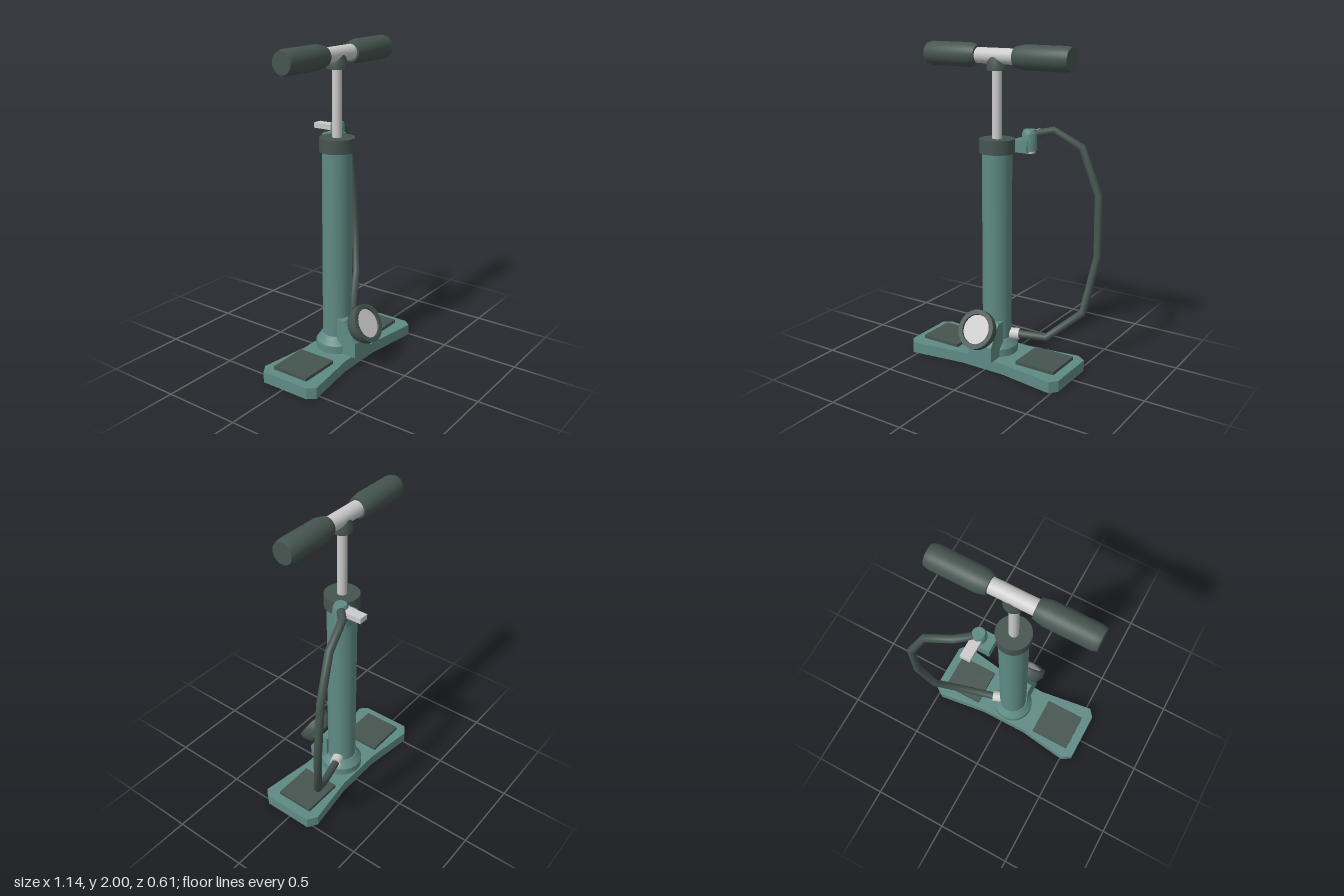
import * as THREE from 'three';
import { toCreasedNormals } from 'three/addons/utils/BufferGeometryUtils.js';

const TEAL = new THREE.MeshStandardMaterial({ color: 0x5f8a84 });
const DARK = new THREE.MeshStandardMaterial({ color: 0x465550 });
const GREY = new THREE.MeshStandardMaterial({ color: 0xcccccc });
const CX = -0.022; // pump axis

export function createModel() {
  const model = new THREE.Group();
  model.name = 'floorPump';

  const add = (name, geometry, material, x = 0, y = 0, z = 0, parent = model) => {
    const mesh = new THREE.Mesh(geometry, material);
    mesh.name = name;
    mesh.position.set(x, y, z);
    parent.add(mesh);
    return mesh;
  };
  // Turned part from [radius, height] pairs, listed bottom to top
  const turned = (profile, segments = 32) => toCreasedNormals(
    new THREE.LatheGeometry(profile.map(([r, y]) => new THREE.Vector2(r, y)), segments), 0.45);
  // Box from its minimum and maximum corners
  const box = (name, material, a, b) => add(name,
    new THREE.BoxGeometry(b[0] - a[0], b[1] - a[1], b[2] - a[2]), material,
    (a[0] + b[0]) / 2, (a[1] + b[1]) / 2, (a[2] + b[2]) / 2);
  const extrude = (points, depth) => new THREE.ExtrudeGeometry(
    new THREE.Shape(points.map(([x, y]) => new THREE.Vector2(x, y))),
    { depth, bevelEnabled: false });

  // Waisted foot plate with clipped corners: half outline in [x, z], mirrored
  const half = [[0.153, 0.175], [0.51, 0.226], [0.55, 0.178], [0.55, -0.148], [0.49, -0.187], [0.16, -0.142]];
  const outline = [...half, ...half.map(([x, z]) => [-x, z]).reverse()];
  const plate = extrude(outline.map(([x, z]) => [x, -z]), 0.071);
  plate.rotateX(-Math.PI / 2);
  add('footPlate', plate, TEAL, CX);

  // Foot pads
  for (const [side, s] of [['left', 1], ['right', -1]]) {
    const pad = new THREE.BoxGeometry(0.268, 0.022, 0.25);
    add(side + 'FootPad', pad, DARK, CX + s * 0.355, 0.081, 0.007);
  }

  // Barrel, collar, cap and piston rod
  add('barrelCollar', turned([[0, 0.07], [0.133, 0.07], [0.133, 0.12], [0.097, 0.17], [0, 0.17]]), TEAL, CX);
  add('barrel', turned([[0, 0.07], [0.092, 0.07], [0.092, 1.36], [0, 1.36]]), TEAL, CX);
  add('barrelCap', turned([[0, 1.355], [0.108, 1.355], [0.108, 1.44], [0, 1.44]]), DARK, CX);
  add('pistonRod', new THREE.CylinderGeometry(0.03, 0.03, 0.5, 24), GREY, CX, 1.67);

  // Handle
  const handle = new THREE.Group();
  handle.name = 'handle';
  handle.position.set(CX, 1.927, 0);
  model.add(handle);
  add('handleHub', turned([[0, -0.082], [0.062, -0.082], [0.062, -0.045], [0.045, 0.003], [0, 0.003]]),
    DARK, 0, 0, 0, handle);
  const bar = new THREE.CylinderGeometry(0.047, 0.047, 0.6, 24);
  add('handleBar', bar, GREY, 0, 0, 0, handle).rotation.z = Math.PI / 2;
  const gripProfile = [[0, 0.134], [0.06, 0.134], [0.073, 0.195], [0.073, 0.465], [0.065, 0.496], [0, 0.496]];
  for (const [side, s] of [['left', 1], ['right', -1]]) {
    add(side + 'Grip', turned(gripProfile), DARK, 0, 0, 0, handle).rotation.z = -s * Math.PI / 2;
  }

  // Gauge bracket: side profile in [z, y], extruded across x
  const bracket = extrude([[-0.06, 0.07], [-0.2, 0.07], [-0.2, 0.165], [-0.115, 0.297], [-0.06, 0.297]]
    .map(([z, y]) => [z, y]).reverse(), 0.168);
  bracket.rotateY(Math.PI / 2);
  add('gaugeBracket', bracket, TEAL, CX - 0.084);

  // Gauge, tilted upward; local +y is the dial direction
  const gauge = new THREE.Group();
  gauge.name = 'gauge';
  gauge.position.set(CX, 0.293, 0.243);
  gauge.rotation.x = Math.PI / 3;
  model.add(gauge);
  add('gaugeHousing', turned([[0, -0.088], [0.1, -0.088], [0.122, -0.042], [0.122, 0],
    [0.093, 0], [0.091, -0.018], [0, -0.018]]), DARK, 0, 0, 0, gauge);
  add('gaugeDial', new THREE.CylinderGeometry(0.091, 0.091, 0.01, 32), GREY, 0, -0.016, 0, gauge);

  // Valve head parked in its clip beside the cap
  box('valveClip', TEAL, [0.045, 1.355, -0.166], [0.15, 1.43, -0.06]);
  add('valveHead', turned([[0, 1.365], [0.046, 1.365], [0.046, 1.47], [0.036, 1.493], [0, 1.493]], 20),
    TEAL, 0.137, 0, -0.113);
  add('valveMouth', new THREE.CylinderGeometry(0.036, 0.036, 0.03, 20), GREY, 0.137, 1.366, -0.113);
  box('valveLever', GREY, [0.105, 1.44, -0.274], [0.169, 1.473, -0.113]);

  // Hose with straight runs between bends
  const hosePath = new THREE.CatmullRomCurve3([
    [0.14, 1.46, -0.115], [0.246, 1.483, -0.21], [0.418, 1.39, -0.253], [0.527, 1.106, -0.277],
    [0.542, 0.725, -0.262], [0.48, 0.36, -0.205], [0.284, 0.185, -0.095], [0.09, 0.185, -0.045],
  ].map((p) => new THREE.Vector3(...p)));
  hosePath.getPointAt = hosePath.getPoint;
  hosePath.getTangentAt = hosePath.getTangent;
  add('hose', new THREE.TubeGeometry(hosePath, 7, 0.025, 12), DARK);

  // Hose ferrule, pointing out of the barrel
  const ferrule = add('hoseFerrule', new THREE.CylinderGeometry(0.037, 0.037, 0.09, 20), GREY, 0.07, 0.185, -0.035);
  ferrule.quaternion.setFromUnitVectors(new THREE.Vector3(0, 1, 0), new THREE.Vector3(0.94, 0, -0.34).normalize());

  return model;
}
